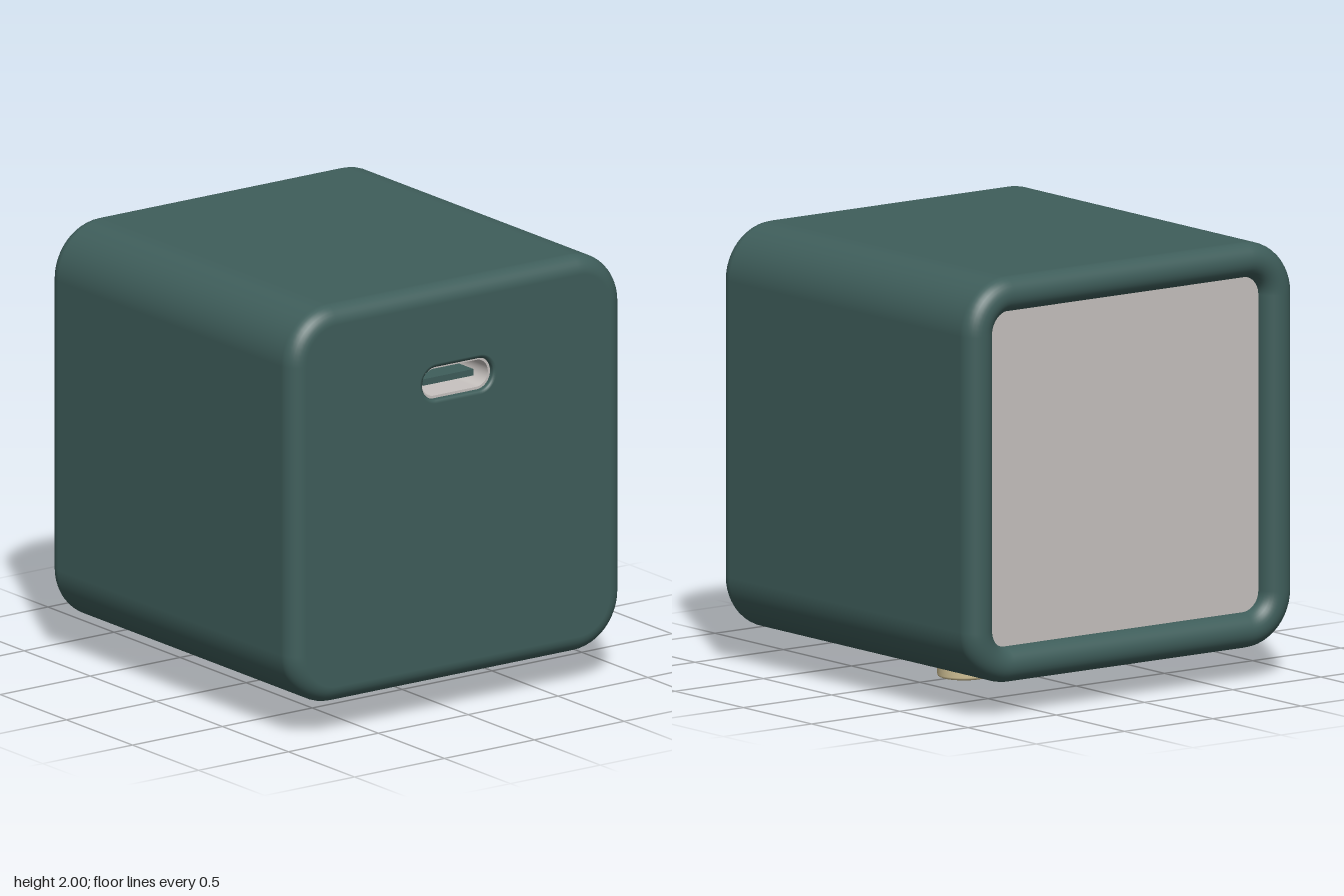
import * as THREE from 'three';

const mat = (name, color, side = THREE.FrontSide) => {
  const m = new THREE.MeshStandardMaterial({ color, side });
  m.name = name;
  return m;
};

// Rounded rectangle outline, counter-clockwise, as [x, y, normalX, normalY]
function outline(hw, hh, r, n = 12) {
  const pts = [];
  [[1, 1], [-1, 1], [-1, -1], [1, -1]].forEach(([sx, sy], q) => {
    for (let k = 0; k <= n; k++) {
      const a = (q + k / n) * Math.PI / 2;
      const c = Math.cos(a), s = Math.sin(a);
      pts.push([sx * (hw - r) + r * c, sy * (hh - r) + r * s, c, s]);
    }
  });
  return pts;
}

// Sweep a profile of [inset, z, normalOut, normalZ] around the outline
function sweep(loop, profile) {
  const pos = [], nor = [], idx = [], n = loop.length;
  for (const [inset, z, no, nz] of profile) {
    for (const [x, y, nx, ny] of loop) {
      pos.push(x - nx * inset, y - ny * inset, z);
      nor.push(nx * no, ny * no, nz);
    }
  }
  for (let i = 0; i < profile.length - 1; i++) {
    for (let j = 0; j < n; j++) {
      const a = i * n + j, b = i * n + (j + 1) % n;
      idx.push(a, a + n, b, a + n, b + n, b);
    }
  }
  const g = new THREE.BufferGeometry();
  g.setAttribute('position', new THREE.Float32BufferAttribute(pos, 3));
  g.setAttribute('normal', new THREE.Float32BufferAttribute(nor, 3));
  g.setIndex(idx);
  return g;
}

const vecs = (loop, dy = 0) => loop.map(([x, y]) => new THREE.Vector2(x, y + dy));

export function createModel() {
  const model = new THREE.Group();
  model.name = 'cubeDevice';
  const green = mat('darkGreen', 0x3f5e5b);
  const grey = mat('lightGrey', 0xc8c3c0);
  const red = mat('red', 0xcb5439);
  const tan = mat('tan', 0xd2c296);
  const add = (name, geo, material, x = 0, y = 0, z = 0, parent = model) => {
    const m = new THREE.Mesh(geo, material);
    m.name = name;
    m.position.set(x, y, z);
    parent.add(m);
    return m;
  };

  const H = 0.925, R = 0.25, F = 0.08, CY = 1.075, PY = 1.55;

  // Casing: front fillet, straight sides, rounded back rim curling inwards
  const profile = [];
  const arc = (from, to, zc, n) => {
    for (let k = 0; k <= n; k++) {
      const a = from + (to - from) * k / n, c = Math.cos(a), s = Math.sin(a);
      profile.push([F - F * c, zc + F * s, c, s]);
    }
  };
  arc(Math.PI / 2, 0, H - F, 8);
  arc(0, -Math.PI, F - H, 16);
  add('casing', sweep(outline(H, H, R), profile), green, 0, CY);

  // Front face with the port opening
  const port = outline(0.213, 0.093, 0.093);
  const face = new THREE.Shape(vecs(outline(H - F, H - F, R - F)));
  face.holes.push(new THREE.Path(vecs(port, PY - CY)));
  add('frontFace', new THREE.ShapeGeometry(face), green, 0, CY, H);

  // Recessed back panel
  const panel = new THREE.ShapeGeometry(new THREE.Shape(vecs(outline(H - 2 * F, H - 2 * F, R - 2 * F))));
  add('backPanel', panel, grey, 0, CY, F - H).rotation.y = Math.PI;

  // Port: bevelled lip, metal shell, end wall and tongue
  const portGroup = new THREE.Group();
  portGroup.name = 'port';
  portGroup.position.y = PY;
  model.add(portGroup);
  add('portLip', sweep(port, [
    [0.018, 0.9, -1, 0], [0.018, 0.915, -1, 0], [0.012, 0.921, -0.7, 0.7], [0, H, 0, 1],
  ]), green, 0, 0, 0, portGroup);
  add('portShell', sweep(port, [
    [0.03, 0.65, -1, 0], [0.03, 0.9, -1, 0], [0.03, 0.9, 0, 1], [0.018, 0.9, 0, 1],
  ]), grey, 0, 0, 0, portGroup);
  add('portEndWall', new THREE.ShapeGeometry(new THREE.Shape(vecs(port))), green, 0, 0, 0.65, portGroup);
  add('portTongue', new THREE.BoxGeometry(0.28, 0.03, 0.2), green, 0, -0.01, 0.75, portGroup);

  // Stepped buttons under the casing
  const buttonProfile = [
    [0, 0], [0.108, 0], [0.116, 0.004], [0.12, 0.012], [0.12, 0.095], [0.19, 0.095], [0.19, 0.155],
  ];
  const corners = new Set([1, 4, 5]);
  const makeButton = (name, x, material) => {
    // Doubled points keep the steps crisp
    const pts = buttonProfile.flatMap(([r, y], i) => {
      const p = new THREE.Vector2(r, y);
      return corners.has(i) ? [p, p.clone()] : [p];
    });
    const group = new THREE.Group();
    group.name = name;
    group.position.x = x;
    model.add(group);
    let start = 0;
    for (let i = 1; i < pts.length; i++) {
      const split = i === pts.length - 1 || pts[i].equals(pts[i + 1]);
      if (!split) continue;
      add(name + 'Surface', new THREE.LatheGeometry(pts.slice(start, i + 1), 48), material, 0, 0, 0, group);
      start = i + 1;
      i++;
    }
  };
  makeButton('redButton', -0.25, red);
  makeButton('tanButton', 0.25, tan);

  // Thin strip under the front edge
  add('bottomStrip', new THREE.BoxGeometry(0.33, 0.008, 0.02), green, 0, 0.151, 0.835);

  return model;
}
